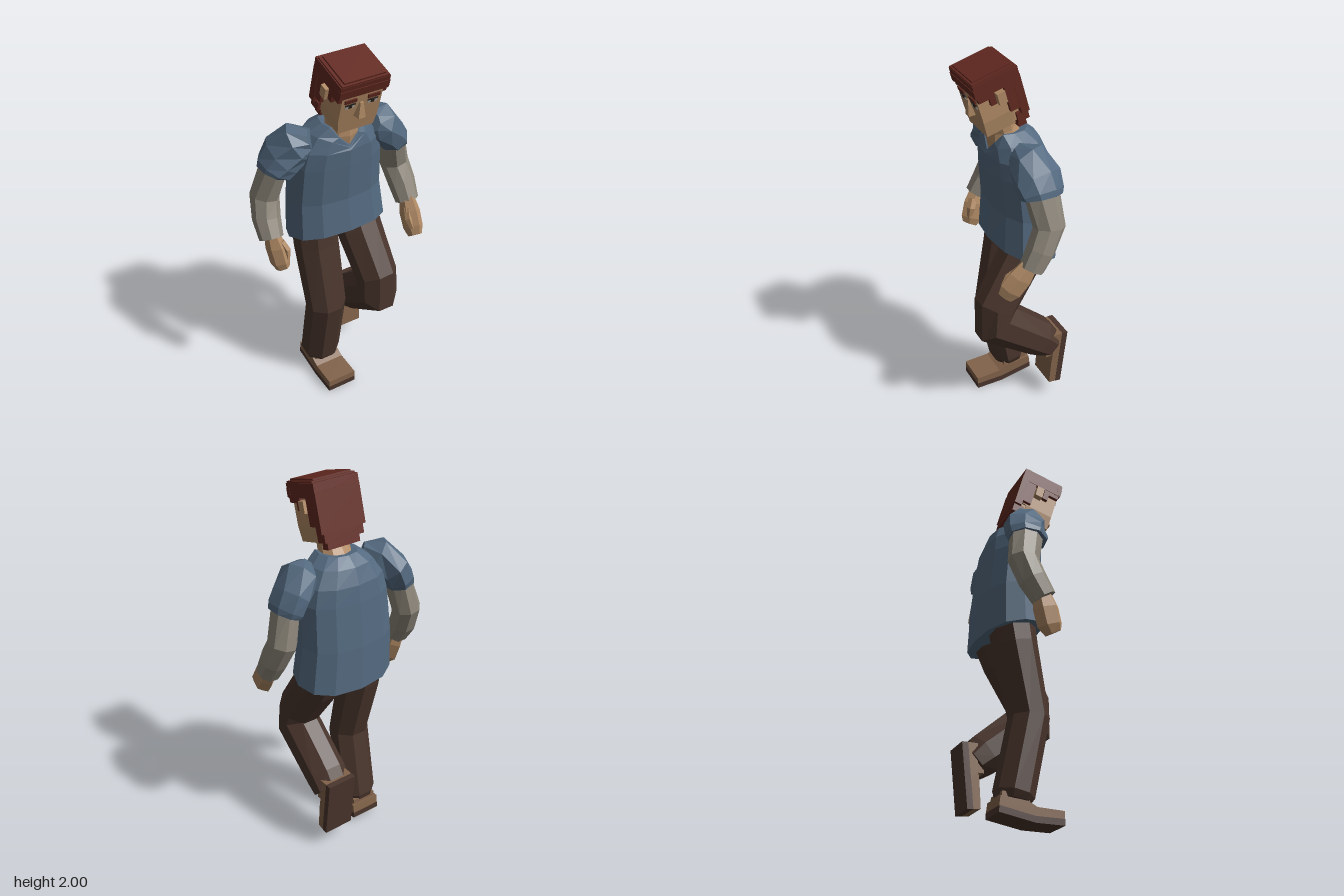
import * as THREE from 'three';

const mat = (name, color) => {
  const m = new THREE.MeshStandardMaterial({ color });
  m.name = name;
  return m;
};

export function createModel() {
  const model = new THREE.Group();
  model.name = 'walkingMan';
  const skin = mat('skin', 0xb08a65), hair = mat('hair', 0x622920), shirt = mat('shirt blue', 0x546a80);
  const cloth = mat('undershirt grey', 0x8f887c), trouser = mat('trouser brown', 0x4a362d);
  const leather = mat('shoe leather', 0x82634a), soleMat = mat('shoe sole', 0x4a352c);
  const white = mat('eye white', 0xa9a298), dark = mat('eye dark', 0x2a211d);

  const add = (parent, name, geo, material) => {
    const g = geo.index ? geo.toNonIndexed() : geo;
    g.computeVertexNormals();
    const mesh = new THREE.Mesh(g, material);
    mesh.name = name;
    parent.add(mesh);
    return mesh;
  };

  // Box given by its centre and size; shape() may move each corner
  const box = (parent, name, material, [x, y, z], [w, h, d], shape) => {
    const g = new THREE.BoxGeometry(w, h, d);
    if (shape) {
      const p = g.attributes.position, v = new THREE.Vector3();
      for (let i = 0; i < p.count; i++) {
        v.fromBufferAttribute(p, i);
        shape(v);
        p.setXYZ(i, v.x, v.y, v.z);
      }
    }
    g.translate(x, y, z);
    return add(parent, name, g, material);
  };

  // Closed skin over rings that all have the same number of points
  const loft = rings => {
    const n = rings[0].length, pos = [], tri = (...v) => v.forEach(p => pos.push(p.x, p.y, p.z));
    const mid = r => r.reduce((s, p) => s.add(p), new THREE.Vector3()).divideScalar(n);
    const first = rings[0], last = rings[rings.length - 1], c0 = mid(first), c1 = mid(last);
    for (let j = 0; j < n; j++) {
      const k = (j + 1) % n;
      for (let i = 0; i < rings.length - 1; i++) {
        const a = rings[i], b = rings[i + 1];
        tri(a[j], b[j], a[k]);
        tri(a[k], b[j], b[k]);
      }
      tri(c0, first[j], first[k]);
      tri(c1, last[k], last[j]);
    }
    const g = new THREE.BufferGeometry();
    g.setAttribute('position', new THREE.Float32BufferAttribute(pos, 3));
    return g;
  };

  // Limb through stations [x, y, z, half width, half depth]
  const limb = (stations, sides = 8) => {
    const c = stations.map(s => new THREE.Vector3(s[0], s[1], s[2]));
    return loft(stations.map((s, i) => {
      const t = c[Math.min(i + 1, c.length - 1)].clone().sub(c[Math.max(i - 1, 0)]).normalize();
      const side = new THREE.Vector3(1, 0, 0).addScaledVector(t, -t.x).normalize();
      const depth = side.clone().cross(t);
      return Array.from({ length: sides }, (_, j) => {
        const a = (j + 0.5) / sides * Math.PI * 2;
        return c[i].clone().addScaledVector(side, Math.cos(a) * s[3] * 1.06)
          .addScaledVector(depth, Math.sin(a) * s[4] * 1.06);
      });
    }));
  };

  // Shirt body: rows of [y, centre x, centre z, half width, half depth, lean, neck dip, dip beside it]
  const torso = [
    [0.985, 0.01, -0.067, 0.275, 0.167, 0.038, 0, 0],
    [1.2, 0, -0.072, 0.258, 0.155, 0.015, 0, 0],
    [1.42, 0, -0.052, 0.245, 0.15, 0, 0, 0],
    [1.51, 0, -0.043, 0.222, 0.147, 0, 0, 0],
    [1.59, 0, -0.03, 0.165, 0.128, 0, 0.07, 0.02],
    [1.635, 0, -0.005, 0.1, 0.1, 0, 0.108, 0.05],
  ].map(([y, cx, cz, rx, rz, lean, dip, dipBeside]) => Array.from({ length: 12 }, (_, j) => {
    const a = j / 12 * Math.PI * 2, s = Math.sin(a);
    const drop = j === 3 ? dip : j === 2 || j === 4 ? dipBeside : 0;
    const bulge = v => Math.sign(v) * Math.pow(Math.abs(v), 0.85);
    return new THREE.Vector3(cx + bulge(Math.cos(a)) * rx, y + lean * s - drop, cz + bulge(s) * rz);
  }));
  add(model, 'shirtBody', loft(torso), shirt);

  // Neck and the skin inside the collar
  add(model, 'neck', limb([[0, 1.49, -0.01, 0.1, 0.085], [0, 1.6, 0.005, 0.088, 0.085],
    [0, 1.64, 0.02, 0.078, 0.068], [0, 1.72, 0.04, 0.076, 0.065]], 10), skin);

  // Arms: z of each station differs because the arms swing
  const arms = [
    { side: 'left', s: 1, sleeve: [0.025, -0.005, -0.028, -0.032], arm: [-0.03, -0.055, 0.0, 0.05], hand: [0.055, 0.1, 0.148, 0.178], dy: 0 },
    { side: 'right', s: -1, sleeve: [0.005, -0.035, -0.075, -0.085], arm: [-0.085, -0.122, -0.08, -0.025], hand: [-0.03, -0.01, 0.015, 0.035], dy: -0.02 },
  ];
  for (const { side, s, sleeve, arm, hand, dy } of arms) {
    const g = new THREE.Group();
    g.name = side + 'Arm';
    model.add(g);
    add(g, 'shortSleeve', limb([
      [s * 0.165, 1.575, sleeve[0], 0.045, 0.05], [s * 0.215, 1.555, sleeve[1], 0.092, 0.098],
      [s * 0.285, 1.48, sleeve[2], 0.082, 0.116], [s * 0.322, 1.42, sleeve[3], 0.078, 0.108],
      [s * 0.33, 1.4, sleeve[3], 0.072, 0.098]]), shirt);
    add(g, 'longSleeve', limb([
      [s * 0.318, 1.44, arm[0], 0.062, 0.085], [s * 0.364, 1.25, arm[1], 0.07, 0.076],
      [s * 0.381, 1.14, arm[2], 0.068, 0.07], [s * 0.386, 1.05, arm[3], 0.058, 0.062]]), cloth);
    add(g, 'hand', limb([
      [s * 0.38, 1.07, hand[0], 0.034, 0.05], [s * 0.372, 1.005, hand[1], 0.046, 0.067],
      [s * 0.364, 0.94 + dy, hand[2], 0.044, 0.066], [s * 0.358, 0.905 + dy, hand[3], 0.03, 0.046]], 6), skin);
    add(g, 'thumb', limb([
      [s * 0.355, 1.04, hand[0] + 0.045, 0.02, 0.022], [s * 0.335, 0.995, hand[1] + 0.045, 0.02, 0.024],
      [s * 0.338, 0.955 + dy, hand[2] + 0.03, 0.012, 0.014]], 5), skin);
  }

  // Trouser legs: right one standing, left one lifted behind
  add(model, 'rightTrouserLeg', limb([
    [-0.11, 1.03, -0.08, 0.112, 0.115], [-0.11, 0.9, -0.06, 0.112, 0.11], [-0.1, 0.53, 0.018, 0.104, 0.098],
    [-0.095, 0.14, -0.06, 0.104, 0.096], [-0.095, 0.105, -0.065, 0.088, 0.08]]), trouser);
  add(model, 'leftTrouserLeg', limb([
    [0.125, 1.03, -0.07, 0.114, 0.112], [0.13, 0.92, -0.012, 0.114, 0.118], [0.15, 0.7, 0.128, 0.105, 0.113],
    [0.153, 0.6, 0.138, 0.105, 0.125], [0.155, 0.4, -0.12, 0.105, 0.105], [0.157, 0.345, -0.18, 0.1, 0.086]]), trouser);

  // Shoes: side profiles [z, y] pushed out to the shoe width; lift raises the heel
  const slab = (points, w) => {
    const g = new THREE.ExtrudeGeometry(new THREE.Shape(points.map(p => new THREE.Vector2(...p))),
      { depth: w, bevelEnabled: false });
    return g.rotateY(-Math.PI / 2).translate(w / 2, 0, 0);
  };
  const shoe = (name, x, lift, heel) => {
    const g = new THREE.Group();
    g.name = name;
    g.position.x = x;
    add(g, 'sole', slab([[-0.165, lift], [0.02, 0], [0.17, 0], [0.17, 0.032], [0.02, 0.032], [-0.163, lift + 0.032]], 0.168), soleMat);
    add(g, 'shoeUpper', slab([[-0.163, lift + 0.032], [0.02, 0.032], [0.17, 0.032], [0.17, 0.07], [0.03, 0.075],
      [-0.02, heel - 0.012], [-0.157, heel]], 0.165), leather);
    model.add(g);
    return g;
  };
  shoe('rightShoe', -0.088, 0.033, 0.112);
  const liftedShoe = shoe('leftShoe', 0.153, 0, 0.085);
  liftedShoe.position.set(0.153, 0.265, -0.247);
  liftedShoe.rotation.x = THREE.MathUtils.degToRad(84);
  box(model, 'rightAnkle', leather, [-0.09, 0.112, -0.075], [0.14, 0.05, 0.14]);
  box(model, 'leftAnkle', leather, [0.155, 0.345, -0.17], [0.14, 0.12, 0.06]);

  // Head, tipped forward
  const head = new THREE.Group();
  head.name = 'head';
  head.position.set(0, 1.802, 0.07);
  head.rotation.x = THREE.MathUtils.degToRad(16);
  model.add(head);
  box(head, 'skull', skin, [0, 0.05, 0.004], [0.216, 0.2, 0.208]);
  box(head, 'jaw', skin, [0, -0.09, 0.03], [0.216, 0.08, 0.156], v => { if (v.y < 0) v.x *= 0.9; });
  box(head, 'nose', skin, [0, 0.004, 0.122], [0.064, 0.076, 0.036], v => {
    if (v.y > 0) { v.x *= 0.25; if (v.z > 0) v.z -= 0.025; } else if (v.z > 0) v.x *= 0.6;
  });
  for (const s of [-1, 1]) {
    box(head, 'ear', skin, [s * 0.124, 0.05, -0.004], [0.036, 0.06, 0.042]);
    box(head, 'eyebrow', hair, [s * 0.062, 0.066, 0.11], [0.064, 0.02, 0.009]);
    box(head, 'upperLid', dark, [s * 0.06, 0.042, 0.109], [0.056, 0.007, 0.006]);
    box(head, 'eye', white, [s * 0.06, 0.03, 0.109], [0.052, 0.018, 0.004]);
    box(head, 'pupil', dark, [s * 0.06, 0.031, 0.11], [0.018, 0.016, 0.005]);
    // Hair down the sides
    box(head, 'sideburn', hair, [s * 0.114, 0.065, 0.038], [0.028, 0.07, 0.03]);
    box(head, 'templeHair', hair, [s * 0.114, 0.084, 0.08], [0.028, 0.032, 0.055]);
    box(head, 'sideHair', hair, [s * 0.114, 0.03, -0.055], [0.028, 0.15, 0.05]);
  }

  // Hair cap, fringe, crown layers and the stepped back
  box(head, 'hairCap', hair, [0, 0.127, -0.002], [0.26, 0.072, 0.232]);
  box(head, 'fringe', hair, [0, 0.117, 0.104], [0.262, 0.042, 0.026]);
  box(head, 'crownLayer', hair, [0, 0.165, 0.004], [0.25, 0.012, 0.216]);
  box(head, 'crownTop', hair, [0, 0.174, 0.004], [0.22, 0.012, 0.196]);
  box(head, 'backHair', hair, [0, 0.02, -0.099], [0.26, 0.2, 0.042]);
  box(head, 'napeHair', hair, [0, -0.1, -0.086], [0.23, 0.05, 0.06]);
  box(head, 'napeTip', hair, [0, -0.142, -0.08], [0.19, 0.04, 0.044]);
  box(head, 'lowerHead', skin, [0, -0.08, -0.06], [0.2, 0.07, 0.06]);

  return model;
}
